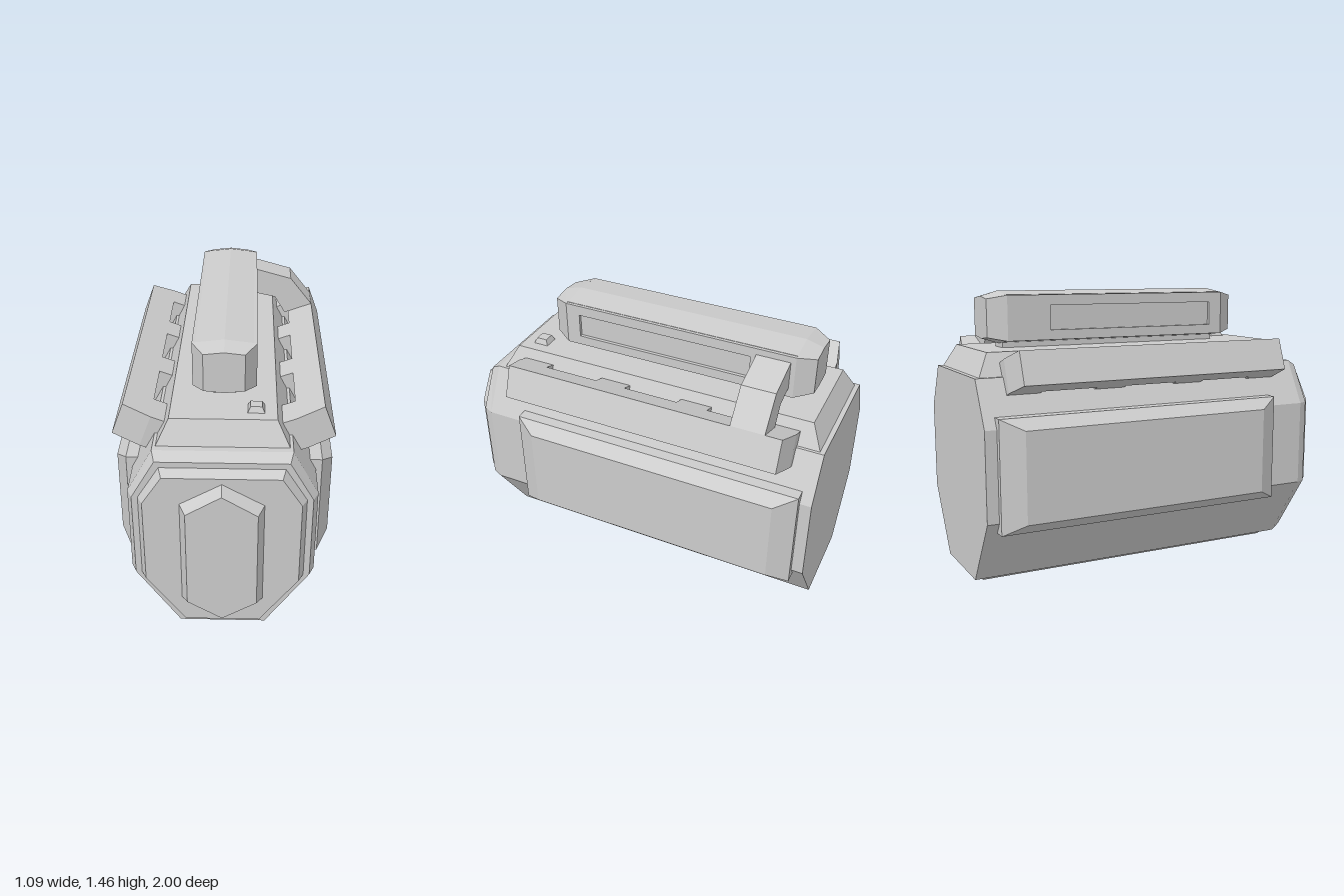
import * as THREE from 'three';

const material = new THREE.MeshStandardMaterial({ color: 0xcccccc, flatShading: true });

// Convex sections [{ z, pts }] with counter-clockwise points, joined in rising z and capped
function loft(sections) {
  const pos = [];
  const put = (s, i) => pos.push(...s.pts[i % s.pts.length], s.z);
  const n = sections[0].pts.length;
  for (let k = 0; k < sections.length - 1; k++) {
    const a = sections[k], b = sections[k + 1];
    for (let i = 0; i < n; i++) {
      put(a, i); put(a, i + 1); put(b, i + 1);
      put(a, i); put(b, i + 1); put(b, i);
    }
  }
  const first = sections[0], last = sections[sections.length - 1];
  for (let i = 1; i < n - 1; i++) {
    put(last, 0); put(last, i); put(last, i + 1);
    put(first, 0); put(first, i + 1); put(first, i);
  }
  const geo = new THREE.BufferGeometry();
  geo.setAttribute('position', new THREE.Float32BufferAttribute(pos, 3));
  geo.computeVertexNormals();
  return geo;
}

const rect = (x0, x1, y0, y1) => [[x0, y0], [x1, y0], [x1, y1], [x0, y1]];

// Mirrors a right-hand outline (bottom to top) into a closed section
const mirrored = (half) => [
  ...half,
  ...half.filter((p) => p[0] > 0).reverse().map(([x, y]) => [-x, y]),
];

const octagon = (bottomX, bottomY, sideX, lowY, highY, topX, topY) =>
  mirrored([[bottomX, bottomY], [sideX, lowY], [sideX, highY], [topX, topY]]);

const hexagon = (x, bottom, low, high, top) =>
  mirrored([[0, bottom], [x, low], [x, high], [0, top]]);

const toShape = (pts) => new THREE.Shape(pts.map(([x, y]) => new THREE.Vector2(x, y)));
const extrude = (shape, depth) => new THREE.ExtrudeGeometry(shape, { depth, bevelEnabled: false });

export function createModel() {
  const group = new THREE.Group();
  const add = (name, geo) => {
    const mesh = new THREE.Mesh(geo, material);
    mesh.name = name;
    group.add(mesh);
    return mesh;
  };

  // Eight-sided body with a bevelled front rim
  const outer = octagon(0.23, 0.03, 0.455, 0.375, 0.83, 0.33, 1.06);
  add('body', loft([
    { z: -1, pts: outer },
    { z: 0.835, pts: outer },
    { z: 0.89, pts: octagon(0.215, 0.06, 0.43, 0.375, 0.83, 0.315, 1.03) },
  ]));
  add('frontPlate', loft([
    { z: 0.88, pts: octagon(0.2, 0.09, 0.4, 0.375, 0.83, 0.295, 1.0) },
    { z: 0.89, pts: octagon(0.2, 0.09, 0.4, 0.375, 0.83, 0.295, 1.0) },
    { z: 0.94, pts: octagon(0.185, 0.115, 0.375, 0.375, 0.83, 0.28, 0.975) },
  ]));
  add('frontBoss', loft([
    { z: 0.93, pts: hexagon(0.2, 0.145, 0.26, 0.83, 0.945) },
    { z: 0.94, pts: hexagon(0.2, 0.145, 0.26, 0.83, 0.945) },
    { z: 1.0, pts: hexagon(0.17, 0.175, 0.28, 0.81, 0.915) },
  ]));

  // Bevelled base and top deck
  add('basePanel', loft([
    { z: -0.04, pts: rect(-0.2, 0.2, -0.97, 0.8) },
    { z: -0.03, pts: rect(-0.2, 0.2, -0.97, 0.8) },
    { z: 0, pts: rect(-0.168, 0.168, -0.94, 0.77) },
  ]).rotateX(Math.PI / 2));
  add('topDeck', loft([
    { z: 1.05, pts: rect(-0.315, 0.315, -0.8, 0.975) },
    { z: 1.06, pts: rect(-0.315, 0.315, -0.8, 0.975) },
    { z: 1.175, pts: rect(-0.255, 0.255, -0.74, 0.915) },
  ]).rotateX(-Math.PI / 2));
  add('button', loft([
    { z: 1.17, pts: rect(0.112, 0.198, -0.683, -0.597) },
    { z: 1.203, pts: rect(0.127, 0.183, -0.668, -0.612) },
  ]).rotateX(-Math.PI / 2));

  // Rail outline: u runs inwards from the outer face, with four teeth on the inner edge
  const railPts = [[0, 0.655], [0, -0.83], [0.144, -0.86]];
  for (const [z0, z1] of [[-0.86, -0.69], [-0.4, -0.235], [0.055, 0.22], [0.515, 0.685]]) {
    railPts.push([0.144, z0], [0.214, z0], [0.214, z1], [0.144, z1]);
  }
  railPts.splice(3, 1); // first tooth shares its corner with the rail end
  const railShape = toShape(railPts);

  for (const s of [1, -1]) {
    const side = s > 0 ? 'left' : 'right';

    // Bevelled side panel
    const along = (a, b) => (s > 0 ? [-b, -a] : [a, b]);
    const base = rect(...along(-0.94, 0.63), 0.32, 0.885);
    add(side + 'SidePanel', loft([
      { z: 0.4, pts: base },
      { z: 0.485, pts: base },
      { z: 0.545, pts: rect(...along(-0.83, 0.52), 0.375, 0.83) },
    ]).rotateY(s * Math.PI / 2));

    // Tilted toothed rail
    const u = new THREE.Vector3(-0.936 * s, -0.351, 0);
    const w = new THREE.Vector3(0, 0, 1);
    const frame = new THREE.Matrix4().makeBasis(u, w, u.clone().cross(w));
    frame.setPosition(...(s > 0 ? [0.54, 1.04, 0] : [-0.48, 1.2, 0]));
    add(side + 'Rail', extrude(railShape, 0.171).applyMatrix4(frame));

    // Handle cheek framing a shallow recess
    const cheek = toShape(rect(...along(-0.77, 0.485), 1.215, 1.443));
    const hole = rect(...along(-0.54, 0.41), 1.265, 1.39).reverse();
    cheek.holes.push(new THREE.Path(hole.map(([x, y]) => new THREE.Vector2(x, y))));
    add(side + 'HandleCheek',
      extrude(cheek, 0.017).translate(0, 0, 0.14).rotateY(s * Math.PI / 2));
  }

  // Handle core with tapered ends, slimmer between the cheeks
  const end = hexagon(0.1, 1.222, 1.232, 1.425, 1.436);
  const full = hexagon(0.157, 1.195, 1.215, 1.443, 1.462);
  const slim = hexagon(0.14, 1.195, 1.213, 1.445, 1.462);
  add('handle', loft([
    { z: -0.86, pts: end },
    { z: -0.77, pts: full },
    { z: -0.77, pts: slim },
    { z: 0.485, pts: slim },
    { z: 0.485, pts: full },
    { z: 0.575, pts: end },
  ]));
  add('handleSupport', new THREE.BoxGeometry(0.11, 0.06, 1.25).translate(0, 1.19, -0.14));

  // Bent arm from the handle to the left rail
  const arm = toShape([
    [0.13, 1.27], [0.265, 1.24], [0.325, 1.142], [0.48, 1.2], [0.355, 1.355], [0.13, 1.417],
  ]);
  add('handleArm', extrude(arm, 0.175).translate(0, 0, -0.745));

  return group;
}
